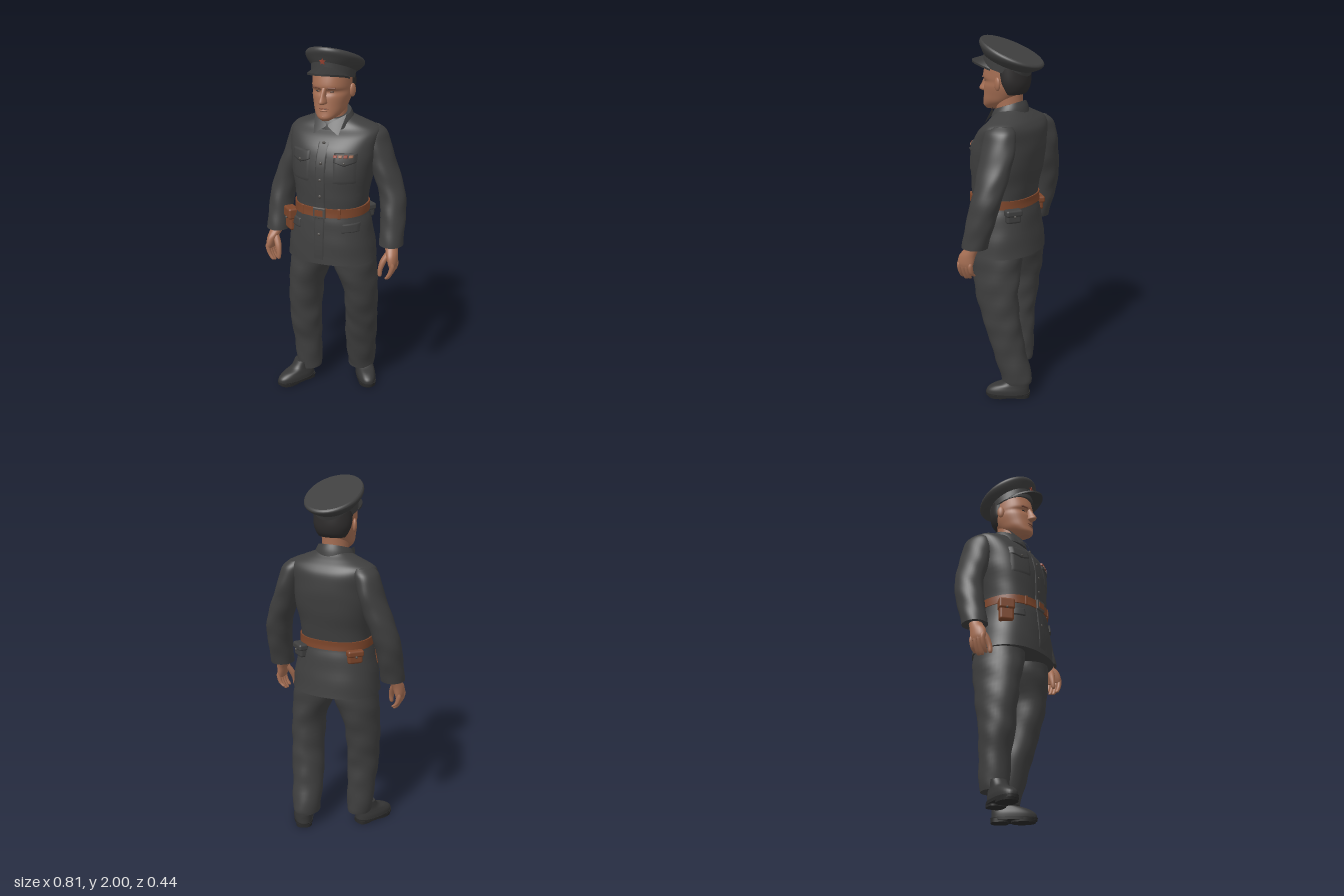
import * as THREE from 'three';
import { mergeGeometries, mergeVertices, toCreasedNormals } from 'three/addons/utils/BufferGeometryUtils.js';
import { RoundedBoxGeometry } from 'three/addons/geometries/RoundedBoxGeometry.js';

const material = (name, color, side = THREE.FrontSide) => {
  const m = new THREE.MeshStandardMaterial({ color, side });
  m.name = name;
  return m;
};

// Surface from a rule fn(u, v) -> [x, y, z]
function grid(nu, nv, fn) {
  const pos = [], index = [];
  for (let j = 0; j <= nv; j++) for (let i = 0; i <= nu; i++) pos.push(...fn(i / nu, j / nv));
  for (let j = 0; j < nv; j++) for (let i = 0; i < nu; i++) {
    const a = j * (nu + 1) + i, b = a + 1, c = b + nu + 1, d = c - 1;
    index.push(a, b, c, a, c, d);
  }
  let g = new THREE.BufferGeometry();
  g.setAttribute('position', new THREE.Float32BufferAttribute(pos, 3));
  g.setIndex(index);
  g = mergeVertices(g, 1e-5);
  g.computeVertexNormals();
  return g;
}

// Smooth ring at t: [x, y, z, halfWidth, frontDepth, backDepth, slope]
function ringAt(rings, t) {
  const last = rings.length - 1, k = Math.min(Math.floor(t * last), last - 1), f = t * last - k;
  const at = (i, c) => rings[Math.max(0, Math.min(last, i))][c] ?? 0;
  return [0, 1, 2, 3, 4, 5, 6].map((c) => {
    const p = at(k - 1, c), q = at(k, c), r = at(k + 1, c), s = at(k + 2, c);
    return q + 0.5 * f * (r - p + f * (2 * p - 5 * q + 4 * r - s + f * (3 * (q - r) + s - p)));
  });
}

// Closed body lofted through horizontal rings listed from bottom to top
function loft(rings, { n = 2, fold = 0, sides = 40, steps = 5 } = {}) {
  const point = (t, u, k = 1) => {
    const [x, y, z, w, f, b, s] = ringAt(rings, t), a = (u * 2 - 1) * Math.PI;
    const pw = (v) => Math.sign(v) * Math.abs(v) ** (2 / n);
    const c = pw(Math.cos(a)), q = k * (1 + fold * Math.sin(42 * y + 2.5 * Math.sin(a + 1)) * Math.cos(2 * a + 9 * y));
    const dz = c * (c > 0 ? f : b) * q;
    return [x + pw(Math.sin(a)) * w * q, y + s * dz, z + dz];
  };
  return mergeGeometries([
    grid(sides, (rings.length - 1) * steps, (u, v) => point(v, u)),
    grid(sides, 1, (u, v) => point(0, u, v)),
    grid(sides, 1, (u, v) => point(1, u, 1 - v)),
  ]);
}

const TORSO_N = 2.3;
const TORSO = [
  [0, 0.84, 0.02, 0.248, 0.195, 0.2], [0, 0.95, 0.02, 0.235, 0.19, 0.188], [0, 1.06, 0.02, 0.213, 0.182, 0.172],
  [0, 1.13, 0.02, 0.195, 0.17, 0.16], [0, 1.22, 0.02, 0.203, 0.172, 0.172], [0, 1.35, 0.01, 0.225, 0.178, 0.187],
  [0, 1.45, 0, 0.236, 0.165, 0.182], [0, 1.52, -0.02, 0.246, 0.138, 0.158], [0, 1.562, -0.045, 0.238, 0.115, 0.112],
  [0, 1.592, -0.045, 0.172, 0.1, 0.085], [0, 1.615, -0.04, 0.115, 0.08, 0.065], [0, 1.635, -0.03, 0.075, 0.06, 0.06],
];

// Depth of the jacket's front at (x, y)
function frontZ(x, y) {
  let lo = 0, hi = 1;
  for (let i = 0; i < 24; i++) {
    const mid = (lo + hi) / 2;
    if (ringAt(TORSO, mid)[1] < y) lo = mid; else hi = mid;
  }
  const r = ringAt(TORSO, lo);
  return r[2] + r[4] * Math.max(0, 1 - Math.min(1, Math.abs(x) / r[3]) ** TORSO_N) ** (1 / TORSO_N);
}

// Cloth piece lying on the jacket's front; corners: bottom left, bottom right, top right, top left
function patch(c, off = 0.007, dip = 0) {
  const mix = (k, u, v) => (c[0][k] * (1 - u) + c[1][k] * u) * (1 - v) + (c[3][k] * (1 - u) + c[2][k] * u) * v;
  return grid(12, 12, (u, v) => {
    const x = mix(0, u, v), y = mix(1, u, v) - dip * (1 - Math.abs(2 * u - 1)) * (1 - v);
    const border = u < 0.01 || u > 0.99 || v < 0.01 || v > 0.99;
    return [x, y, frontZ(x, y) + (border ? -0.003 : off)];
  });
}
const rect = (x0, x1, y0, y1) => [[x0, y0], [x1, y0], [x1, y1], [x0, y1]];

export function createModel() {
  const model = new THREE.Group();
  const cloth = material('uniform cloth', 0x3f3f3f, THREE.DoubleSide);
  const shoe = material('shoe leather', 0x363636);
  const sole = material('dark sole', 0x2a2a2a);
  const skin = material('skin', 0xa56e53);
  const brown = material('shaded skin', 0x7d4c3a);
  const hairMat = material('dark hair', 0x2e2c2c);
  const leather = material('brown leather', 0x7c452a);
  const metal = material('dull metal', 0x4e4b48);
  const red = material('badge red', 0x96402f, THREE.DoubleSide);
  const add = (name, geo, mat, parent = model) => {
    const m = new THREE.Mesh(geo, mat);
    m.name = name;
    parent.add(m);
    return m;
  };
  const put = (m, x, y, z, ry = 0, rx = 0) => { m.position.set(x, y, z); m.rotation.set(rx, ry, 0, 'YXZ'); return m; };
  const ball = (name, mat, x, y, z, sx, sy, sz) =>
    put(add(name, new THREE.SphereGeometry(1, 16, 12).scale(sx, sy, sz), mat), x, y, z);

  // Jacket body, placket, collar
  add('jacket', loft(TORSO, { n: TORSO_N, fold: 0.008, sides: 64 }), cloth);
  add('placket', patch(rect(-0.032, 0.03, 0.845, 1.55), 0.004), cloth);
  add('collar', loft([[0, 1.578, -0.005, 0.112, 0.1, 0.106, -0.2], [0, 1.612, -0.005, 0.104, 0.093, 0.099, -0.27],
    [0, 1.642, -0.005, 0.09, 0.08, 0.086, -0.34]]), cloth);
  for (const y of [1.5, 1.4, 1.31, 1.22, 1.01]) ball('button', metal, 0, y, frontZ(0, y) + 0.004, 0.009, 0.009, 0.005);

  // Collar points, pockets and ribbon bar
  for (const s of [-1, 1]) {
    const span = (a, b) => (s > 0 ? [a, b] : [-b, -a]);
    add('collarFlap', grid(8, 8, (u, v) => {
      const x = 0.006 + (0.084 - 0.02 * u) * v, y = 1.59 + 0.05 * v - u * (0.012 + 0.09 * v);
      return [s * x, y, 0.11 - 0.58 * (y - 1.56) - 2.2 * x * x];
    }), cloth);
    const [a, b] = span(0.065, 0.185), [c, d] = span(0.12, 0.2);
    add('chestPocket', patch(rect(a, b, 1.29, 1.43), 0.003), cloth);
    add('chestPocketFlap', patch(rect(a, b, 1.41, 1.46), 0.009, 0.022), cloth);
    ball('pocketButton', metal, s * 0.125, 1.408, frontZ(0.125, 1.408) + 0.01, 0.007, 0.007, 0.005);
    add('skirtPocketFlap', patch(rect(c, d, 1.025, 1.075), 0.009), cloth);
  }
  for (let i = 0; i < 4; i++) add('ribbon', patch(rect(0.068 + i * 0.026, 0.09 + i * 0.026, 1.436, 1.45), 0.014), i % 2 ? skin : red);

  // Belt, buckle, slides
  add('belt', loft([[0, 1.107, 0.02, 0.205, 0.182, 0.17], [0, 1.131, 0.02, 0.205, 0.18, 0.168], [0, 1.155, 0.02, 0.204, 0.18, 0.169]],
    { n: TORSO_N, sides: 64 }), leather);
  put(add('buckle', new RoundedBoxGeometry(0.072, 0.06, 0.014, 2, 0.005), metal), 0, 1.131, 0.203);
  put(add('buckleInset', new THREE.BoxGeometry(0.046, 0.034, 0.006), leather), 0, 1.131, 0.209);
  for (const s of [-1, 1]) put(add('beltSlide', new RoundedBoxGeometry(0.018, 0.056, 0.012, 2, 0.004), leather), s * 0.105, 1.131, 0.18, s * 0.3);

  // Belt bags
  const bag = (name, x, y, z, ry, w, h, d, mat) => {
    const g = new THREE.Group();
    g.name = name;
    put(g, x, y, z, ry);
    add('bagBody', new RoundedBoxGeometry(w, h, d, 3, 0.014), mat, g);
    put(add('bagFlap', new RoundedBoxGeometry(w + 0.008, h * 0.5, d + 0.01, 3, 0.012), mat, g), 0, h * 0.27, 0.003);
    put(add('bagStud', new THREE.SphereGeometry(0.007, 10, 8), metal, g), 0, h * 0.06, d / 2 + 0.008);
    model.add(g);
  };
  bag('holster', -0.205, 1.045, 0.115, -0.75, 0.08, 0.125, 0.05, leather);
  bag('rightRearPouch', -0.16, 1.075, -0.095, -2.35, 0.085, 0.075, 0.045, leather);
  bag('leftRearPouch', 0.155, 1.075, -0.115, 2.5, 0.085, 0.075, 0.045, cloth);

  // Arms and hands
  for (const s of [-1, 1]) {
    const side = s > 0 ? 'left' : 'right';
    const mir = (rings) => rings.map(([x, ...r]) => [s * x, ...r]);
    add(side + 'Sleeve', loft(mir([
      [0.342, 0.935, 0.01, 0.064, 0.07, 0.07], [0.34, 1, -0.005, 0.066, 0.075, 0.075], [0.335, 1.1, -0.03, 0.068, 0.08, 0.08],
      [0.32, 1.2, -0.055, 0.071, 0.085, 0.08], [0.285, 1.3, -0.066, 0.071, 0.09, 0.086], [0.25, 1.4, -0.07, 0.066, 0.095, 0.095],
      [0.226, 1.48, -0.07, 0.064, 0.09, 0.094], [0.208, 1.535, -0.068, 0.06, 0.08, 0.084], [0.19, 1.566, -0.066, 0.045, 0.05, 0.058],
    ]), { fold: 0.03 }), cloth);
    add(side + 'Palm', loft(mir([
      [0.37, 0.825, 0.052, 0.018, 0.044, 0.042], [0.368, 0.85, 0.052, 0.025, 0.048, 0.048],
      [0.36, 0.89, 0.042, 0.031, 0.048, 0.044], [0.347, 0.93, 0.022, 0.036, 0.038, 0.038], [0.342, 0.97, 0.012, 0.038, 0.038, 0.038],
    ]), { sides: 20 }), skin);
    for (let i = 0; i < 4; i++) {
      const z = 0.087 - i * 0.023, drop = [0, 0.008, 0.004, -0.012][i];
      add(side + 'Finger', loft(mir([
        [0.343, 0.757 - drop, z, 0.005, 0.005, 0.005], [0.347, 0.764 - drop, z, 0.011, 0.011, 0.011],
        [0.366, 0.795, z, 0.0125, 0.012, 0.012], [0.376, 0.835, z, 0.014, 0.013, 0.013], [0.37, 0.86, z, 0.01, 0.01, 0.01],
      ]), { sides: 10, steps: 3 }), skin);
    }
    add(side + 'Thumb', loft(mir([
      [0.308, 0.768, 0.088, 0.005, 0.005, 0.005], [0.307, 0.776, 0.087, 0.011, 0.011, 0.011], [0.308, 0.81, 0.083, 0.014, 0.014, 0.014],
      [0.32, 0.855, 0.07, 0.019, 0.018, 0.02], [0.342, 0.9, 0.05, 0.018, 0.018, 0.02],
    ]), { sides: 12, steps: 3 }), skin);
  }

  // Trousers, right leg stepping forward
  add('rightTrouserLeg', loft([
    [-0.152, 0.085, 0.01, 0.068, 0.078, 0.075], [-0.154, 0.13, 0.01, 0.074, 0.08, 0.08], [-0.16, 0.28, 0.02, 0.081, 0.082, 0.09],
    [-0.163, 0.4, 0.03, 0.088, 0.1, 0.1], [-0.165, 0.5, 0.025, 0.09, 0.115, 0.11], [-0.158, 0.65, 0.02, 0.096, 0.137, 0.13],
    [-0.126, 0.8, 0.01, 0.118, 0.15, 0.15], [-0.115, 0.92, 0.01, 0.115, 0.15, 0.14],
  ], { fold: 0.035 }), cloth);
  add('leftTrouserLeg', loft([
    [0.125, 0.085, -0.122, 0.074, 0.085, 0.088], [0.129, 0.13, -0.118, 0.079, 0.09, 0.095], [0.138, 0.28, -0.075, 0.089, 0.09, 0.1],
    [0.15, 0.4, -0.05, 0.089, 0.1, 0.11], [0.157, 0.5, -0.03, 0.089, 0.112, 0.117], [0.158, 0.65, -0.01, 0.092, 0.132, 0.132],
    [0.126, 0.8, 0, 0.118, 0.148, 0.142], [0.115, 0.92, 0, 0.115, 0.15, 0.14],
  ], { fold: 0.035 }), cloth);

  // Shoes
  for (const [name, x, z, ry] of [['rightShoe', -0.198, 0.083, -0.5], ['leftShoe', 0.16, -0.104, 0.52]]) {
    const g = new THREE.Group();
    g.name = name;
    put(g, x, 0, z, ry);
    add('upper', loft([[0, 0.015, 0, 0.053, 0.137, 0.107], [0, 0.045, 0, 0.054, 0.134, 0.105], [0, 0.07, -0.005, 0.049, 0.105, 0.1],
      [0, 0.092, -0.02, 0.045, 0.06, 0.083], [0, 0.13, -0.035, 0.045, 0.045, 0.065]], { n: 2.3 }), shoe, g);
    add('sole', loft([[0, 0.01, 0, 0.056, 0.14, 0.11], [0, 0.026, 0, 0.057, 0.142, 0.111]], { n: 2.3, steps: 1 }), sole, g);
    add('heel', loft([[0, 0, -0.055, 0.046, 0.04, 0.053], [0, 0.02, -0.055, 0.047, 0.04, 0.054]], { n: 3, steps: 1 }), sole, g);
    add('toeTread', loft([[0, 0, 0.06, 0.05, 0.07, 0.06], [0, 0.02, 0.06, 0.052, 0.076, 0.06]], { n: 2.3, steps: 1 }), sole, g);
    model.add(g);
  }

  // Neck, head, face
  add('neck', loft([[0, 1.56, -0.01, 0.075, 0.07, 0.07], [0, 1.64, 0, 0.07, 0.068, 0.075], [0, 1.74, 0.01, 0.074, 0.06, 0.088]]), skin);
  add('head', loft([
    [0, 1.615, 0.105, 0.022, 0.03, 0.04], [0, 1.632, 0.085, 0.05, 0.065, 0.07], [0, 1.662, 0.05, 0.076, 0.096, 0.08],
    [0, 1.7, 0.03, 0.089, 0.112, 0.1], [0, 1.74, 0.02, 0.099, 0.118, 0.12], [0, 1.768, 0.015, 0.1, 0.114, 0.122],
    [0, 1.795, 0.012, 0.102, 0.132, 0.122], [0, 1.86, 0.01, 0.102, 0.12, 0.12],
  ], { n: 2.2 }), skin);
  add('hair', loft([[0, 1.705, -0.04, 0.075, 0.03, 0.048], [0, 1.73, -0.035, 0.091, 0.04, 0.072], [0, 1.775, -0.03, 0.106, 0.055, 0.087],
    [0, 1.86, -0.02, 0.108, 0.07, 0.095]]), hairMat);
  add('nose', loft([[0, 1.706, 0.14, 0.012, 0.025, 0.02], [0, 1.717, 0.142, 0.021, 0.043, 0.02], [0, 1.75, 0.138, 0.013, 0.03, 0.02],
    [0, 1.79, 0.132, 0.013, 0.014, 0.02]], { sides: 20 }), skin);
  ball('upperLip', brown, 0, 1.681, 0.139, 0.027, 0.004, 0.012);
  ball('lowerLip', skin, 0, 1.671, 0.138, 0.024, 0.007, 0.013);
  ball('chin', skin, 0, 1.638, 0.127, 0.028, 0.02, 0.024);
  for (const s of [-1, 1]) {
    ball('eye', hairMat, s * 0.036, 1.768, 0.12, 0.014, 0.004, 0.006);
    put(add('eyebrow', new RoundedBoxGeometry(0.046, 0.009, 0.012, 2, 0.004), brown), s * 0.041, 1.789, 0.132, s * 0.3);
    ball('ear', skin, s * 0.108, 1.763, 0.008, 0.012, 0.036, 0.021).rotation.y = s * -0.4;
  }

  // Peaked cap: band, flared crown, visor, badge
  add('capBand', loft([[0, 1.83, 0.012, 0.112, 0.13, 0.128, 0.25], [0, 1.875, 0.005, 0.114, 0.137, 0.135, 0.36]]), cloth);
  add('capCrown', loft([
    [0, 1.868, 0.005, 0.113, 0.135, 0.134, 0.36], [0, 1.89, -0.008, 0.138, 0.159, 0.16, 0.36], [0, 1.91, -0.016, 0.151, 0.177, 0.174, 0.37],
    [0, 1.924, -0.018, 0.15, 0.175, 0.174, 0.39], [0, 1.932, -0.018, 0.143, 0.167, 0.167, 0.4],
  ]), cloth);
  add('visor', toCreasedNormals(grid(28, 4, (u, v) => {
    const a = (u * 2 - 1) * 1.28, reach = 0.077 * Math.cos(a * 1.2), k = Math.round(v * 4) % 4;
    const out = k === 1 || k === 2 ? reach : -0.012, top = k >= 2 ? 0.01 : 0;
    return [(0.112 + out * 0.45) * Math.sin(a), 1.805 + 0.083 * Math.cos(a) - out * 0.3 + top, 0.012 + (0.13 + out) * Math.cos(a)];
  }), 0.7), shoe);
  const star = new THREE.Shape(Array.from({ length: 10 }, (_, i) => {
    const r = i % 2 ? 0.008 : 0.018, a = i * Math.PI / 5;
    return new THREE.Vector2(r * Math.sin(a), r * Math.cos(a));
  }));
  put(add('capBadge', new THREE.ExtrudeGeometry(star, { depth: 0.006, bevelEnabled: false }), red), 0, 1.925, 0.149, 0, 0.1);
  return model;
}
